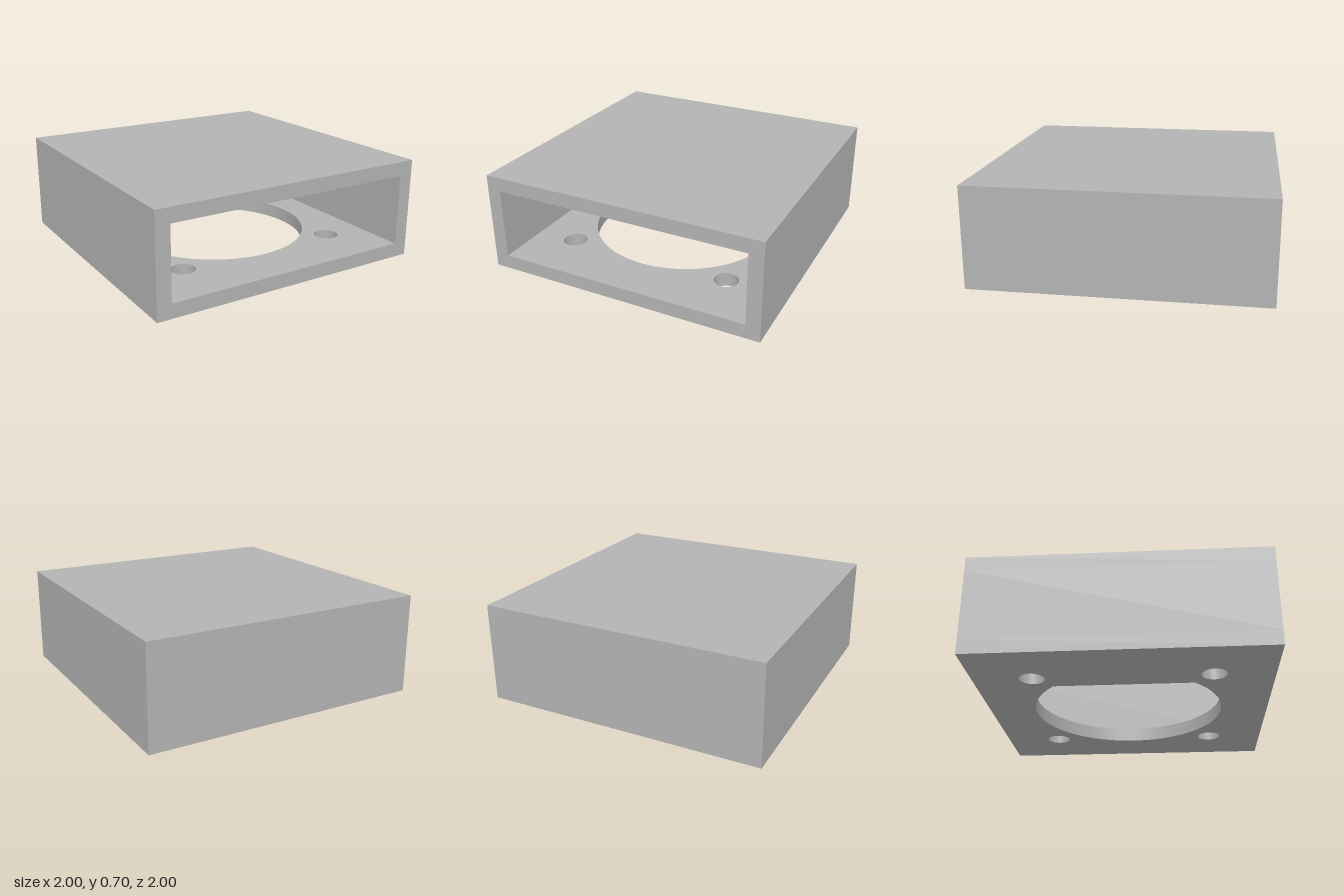
import * as THREE from 'three';
import { toCreasedNormals } from 'three/addons/utils/BufferGeometryUtils.js';

const SIZE = 2, HEIGHT = 0.7, WALL = 0.1;
const HALF = SIZE / 2, INNER = HALF - WALL;

// Closed outline from plan points (x, -z)
const outline = (points) => new THREE.Shape(points.map(([x, y]) => new THREE.Vector2(x, y)));

// Extrude a plan outline upwards from y = bottom
function slab(name, shape, bottom, height, material) {
  const geometry = new THREE.ExtrudeGeometry(shape, {
    depth: height, bevelEnabled: false, curveSegments: 32,
  });
  geometry.rotateX(-Math.PI / 2);
  geometry.translate(0, bottom, 0);
  const mesh = new THREE.Mesh(toCreasedNormals(geometry, Math.PI / 6), material);
  mesh.name = name;
  return mesh;
}

function addHole(shape, x, y, radius) {
  const hole = new THREE.Path();
  hole.absarc(x, y, radius, 0, Math.PI * 2, true);
  shape.holes.push(hole);
}

export function createModel() {
  const model = new THREE.Group();
  model.name = 'openFrontHousing';
  const grey = new THREE.MeshStandardMaterial({ color: 0xb3b3b3 });
  grey.name = 'plain grey';

  const square = [[-HALF, -HALF], [HALF, -HALF], [HALF, HALF], [-HALF, HALF]];

  // Floor with a large central opening and four screw holes
  const floor = outline(square);
  addHole(floor, 0, 0, 0.67);
  for (const x of [-0.6, 0.6]) {
    for (const y of [-0.6, 0.6]) addHole(floor, x, y, 0.085);
  }
  model.add(slab('floor', floor, 0, WALL, grey));

  // Side and back walls in one U, open at the front
  const walls = outline([
    [-HALF, -HALF], [-INNER, -HALF], [-INNER, INNER], [INNER, INNER],
    [INNER, -HALF], [HALF, -HALF], [HALF, HALF], [-HALF, HALF],
  ]);
  model.add(slab('walls', walls, WALL, HEIGHT - 2 * WALL, grey));

  // Solid roof
  model.add(slab('roof', outline(square), HEIGHT - WALL, WALL, grey));

  return model;
}
